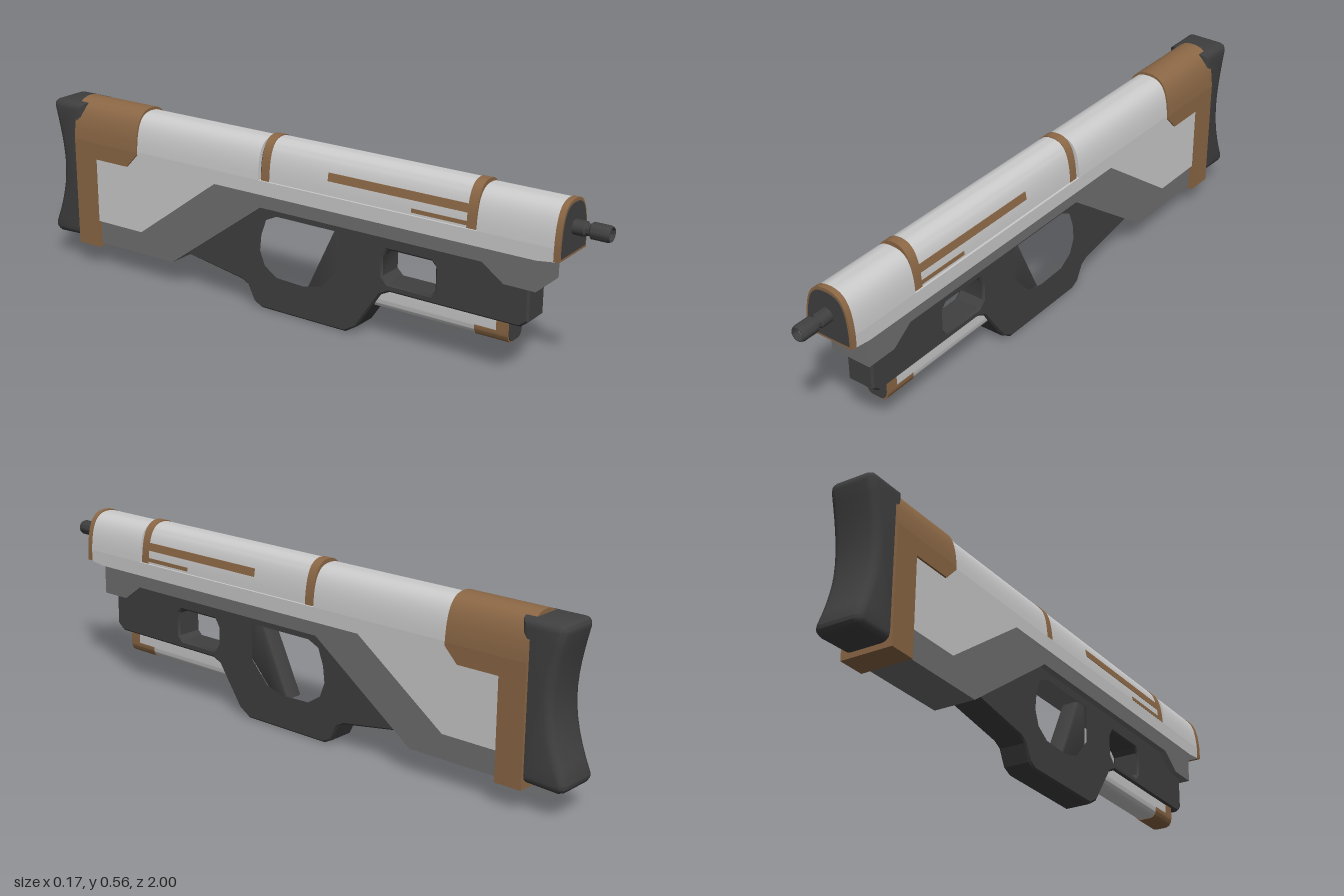
import * as THREE from 'three';
import { toCreasedNormals } from 'three/addons/utils/BufferGeometryUtils.js';

const mat = (color) => new THREE.MeshStandardMaterial({ color });
const light = mat(0xcccccc), mid = mat(0x707070), dark = mat(0x404040), brown = mat(0x8c6846);

const pts = (list) => list.map(([a, b]) => new THREE.Vector2(a, b));

// Half arch from the bottom edge to the crown
function archSide(w, top, bottom) {
  const bend = new THREE.CubicBezierCurve(...pts([[w, 0.43], [w * 0.92, 0.53], [w * 0.6, top], [0, top]]));
  const side = bend.getPoints(14);
  if (bottom < 0.43) side.unshift(new THREE.Vector2(w, bottom));
  return side;
}

function archShape(w, top, bottom = 0.43) {
  const side = archSide(w, top, bottom);
  const other = side.slice(0, -1).reverse().map((p) => new THREE.Vector2(-p.x, p.y));
  return new THREE.Shape([...side, ...other]);
}

// Half width of an arch at a given height
function archWidthAt(w, top, y) {
  const side = archSide(w, top, 0.4);
  const i = side.findIndex((p) => p.y >= y);
  const a = side[i - 1], b = side[i];
  return a.x + (b.x - a.x) * (y - a.y) / (b.y - a.y);
}

export function createModel() {
  const model = new THREE.Group();
  const add = (name, geometry, material) => {
    const mesh = new THREE.Mesh(toCreasedNormals(geometry, 0.6), material);
    mesh.name = name;
    model.add(mesh);
    return mesh;
  };

  // Front-facing shape (x, y) swept from z0 to z1
  const along = (name, shape, z0, z1, material) => {
    const g = new THREE.ExtrudeGeometry(shape, { depth: z1 - z0, bevelEnabled: false });
    return add(name, g.translate(0, 0, z0), material);
  };

  // Side outline (z, y) made into a slab of half width w, with optional bevel
  const across = (name, shape, w, material, bevel = 0, segments = 1) => {
    const g = new THREE.ExtrudeGeometry(shape, {
      depth: 2 * (w - bevel), bevelEnabled: bevel > 0, bevelThickness: bevel,
      bevelSize: bevel, bevelOffset: -bevel, bevelSegments: segments,
    });
    g.translate(0, 0, bevel - w).rotateY(-Math.PI / 2);
    return add(name, g, material);
  };
  const outline = (list) => new THREE.Shape(pts(list));

  // Upper body
  across('bodySides', outline([
    [0.88, 0.43], [0.88, 0.393], [0.82, 0.385], [-0.29, 0.385], [-0.6, 0.16], [-0.8, 0.16], [-0.8, 0.43],
  ]), 0.077, light);
  along('bodyFrontTop', archShape(0.077, 0.552), 0.635, 0.88, light);
  along('bodyRearTop', archShape(0.077, 0.552), -0.8, -0.12, light);

  // Raised cover in its recess
  along('coverCore', archShape(0.062, 0.54), -0.125, 0.64, dark);
  along('cover', archShape(0.07, 0.558, 0.434), -0.11, 0.628, light);
  for (const [z0, z1] of [[0.6, 0.63], [-0.112, -0.082]])
    along('coverBand', archShape(0.0715, 0.561, 0.433), z0, z1, brown);
  for (const [y0, y1, z0] of [[0.473, 0.498, 0.13], [0.437, 0.449, 0.42]])
    for (const s of [1, -1]) {
      const a = archWidthAt(0.07, 0.558, y0) + 0.0015, b = archWidthAt(0.07, 0.558, y1) + 0.0015;
      along('coverStripe', outline([[s * a, y0], [s * b, y1], [s * (b - 0.006), y1], [s * (a - 0.006), y0]]), z0, 0.605, brown);
    }

  // Front cap
  along('frontTrim', archShape(0.0785, 0.555, 0.394), 0.872, 0.89, brown);
  along('frontPlate', archShape(0.071, 0.545, 0.402), 0.88, 0.892, dark);

  // Muzzle, turned around z
  const muzzle = new THREE.LatheGeometry(pts([
    [0.022, 0.88], [0.022, 0.925], [0.017, 0.93], [0.017, 0.94], [0.024, 0.945],
    [0.024, 0.992], [0.021, 1], [0.018, 1], [0.018, 0.975],
  ]).reverse(), 24).scale(1, -1, 1);
  muzzle.rotateX(-Math.PI / 2).translate(0, 0.475, 0);
  add('muzzle', muzzle, dark).material = Object.assign(dark.clone(), { side: THREE.DoubleSide });
  add('muzzleBore', new THREE.CircleGeometry(0.0185, 24).translate(0, 0.475, 0.98), mid);

  // Lower body
  across('lowerBody', outline([
    [0.82, 0.41], [0.82, 0.29], [0.72, 0.29], [0.65, 0.34], [-0.12, 0.34], [-0.48, 0.08],
    [-0.8, 0.08], [-0.8, 0.18], [-0.6, 0.18], [-0.3, 0.41],
  ]), 0.067, mid);

  // Grip frame with its two openings
  const frame = outline([
    [0.79, 0.31], [0.79, 0.185], [0.765, 0.165], [0.335, 0.165], [0.305, 0.15], [0.22, 0.025], [0.18, 0],
    [-0.135, 0], [-0.165, 0.015], [-0.19, 0.065], [-0.215, 0.078], [-0.44, 0.115], [-0.43, 0.13],
    [-0.12, 0.36], [0.64, 0.36], [0.70, 0.31],
  ]);
  const frontOpening = [
    [0.49, 0.205], [0.49, 0.28], [0.475, 0.295], [0.325, 0.295], [0.31, 0.27], [0.31, 0.21], [0.33, 0.19], [0.475, 0.19],
  ];
  const gripOpening = [
    [0.165, 0.32], [0.165, 0.195], [0.1, 0.122], [0.03, 0.104], [-0.075, 0.108], [-0.125, 0.14],
    [-0.144, 0.19], [-0.138, 0.245], [-0.118, 0.3], [-0.075, 0.32],
  ];
  frame.holes.push(new THREE.Path(pts(frontOpening)), new THREE.Path(pts(gripOpening)));
  across('gripFrame', frame, 0.046, dark, 0.006);
  across('gripWedge', outline([
    [0.18, 0.33], [0.18, 0.19], [0.1, 0.105], [0.025, 0.095], [0.137, 0.33],
  ]), 0.03, dark, 0.008, 2);

  // Tube under the front
  const tubeShape = (w, bottom, top) => {
    const s = new THREE.Shape();
    s.moveTo(-w, top);
    s.lineTo(-w, bottom + 0.033);
    s.bezierCurveTo(-w, bottom + 0.012, -w * 0.75, bottom, -w * 0.4, bottom);
    s.lineTo(w * 0.4, bottom);
    s.bezierCurveTo(w * 0.75, bottom, w, bottom + 0.012, w, bottom + 0.033);
    s.lineTo(w, top);
    return s;
  };
  along('lowerTube', tubeShape(0.039, 0.102, 0.175), 0.2, 0.72, light);
  along('lowerTubeCap', tubeShape(0.0405, 0.1, 0.172), 0.69, 0.728, brown);
  along('lowerTubeTrim', tubeShape(0.0405, 0.1, 0.135), 0.62, 0.7, brown);
  along('lowerTubePlate', tubeShape(0.036, 0.104, 0.168), 0.72, 0.731, dark);

  // Stock band
  along('stockBandTop', archShape(0.083, 0.561), -0.872, -0.605, brown);
  across('stockBandSides', outline([
    [-0.605, 0.43], [-0.605, 0.42], [-0.648, 0.375], [-0.785, 0.375], [-0.785, 0.07], [-0.872, 0.07], [-0.872, 0.43],
  ]), 0.083, brown);

  // Butt pad with a hollow back
  const pad = new THREE.Shape();
  pad.moveTo(-0.84, 0.548);
  pad.lineTo(-0.955, 0.548);
  pad.quadraticCurveTo(-0.978, 0.545, -0.975, 0.52);
  pad.bezierCurveTo(-0.935, 0.36, -0.925, 0.28, -0.998, 0.115);
  pad.quadraticCurveTo(-1.003, 0.09, -0.975, 0.082);
  pad.lineTo(-0.84, 0.088);
  across('buttPad', pad, 0.074, dark, 0.024, 3);

  return model;
}
